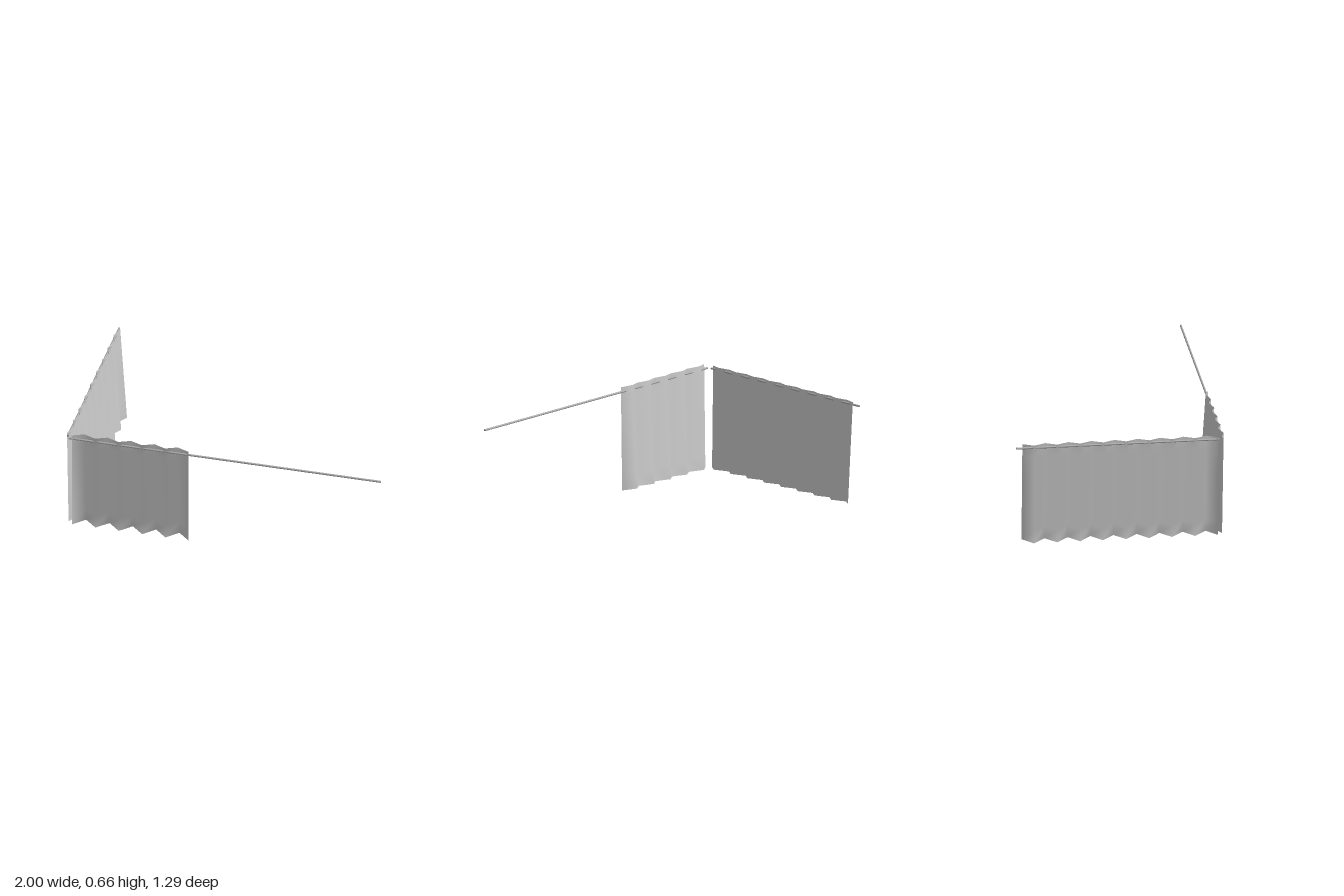
import * as THREE from 'three';

const fabric = new THREE.MeshStandardMaterial({ color: 0xcccccc, side: THREE.DoubleSide });
fabric.name = 'grey fabric';
const metal = new THREE.MeshStandardMaterial({ color: 0xa8a8a8 });
metal.name = 'grey metal';

const ROD_Y = 0.631;
const ROD_RADIUS = 0.0065;

// Pleated sheet along x, outer pleats towards +z; z is measured from the rod axis.
// Pleats get deeper towards the hem.
function pleatedSheet(start, end, panels, top) {
  const rows = 8;
  const geo = new THREE.PlaneGeometry(end - start, 1, panels, rows);
  const p = geo.attributes.position;
  for (let row = 0; row <= rows; row++) {
    const t = row / rows;
    for (let col = 0; col <= panels; col++) {
      const inner = (panels - col) % 2 === 1;
      const x = start + (end - start) * col / panels;
      const y = inner
        ? THREE.MathUtils.lerp(top, 0.011, t)
        : THREE.MathUtils.lerp(top - 0.004, 0.002, t);
      const z = inner
        ? THREE.MathUtils.lerp(-0.017, -0.06, t)
        : THREE.MathUtils.lerp(0.008, -0.002, t);
      p.setXYZ(row * (panels + 1) + col, x, y, z);
    }
  }
  geo.computeVertexNormals();
  return geo;
}

// One curtain threaded on its rod, both running along x.
function curtainOnRod(name, rodStart, rodEnd, start, end, panels, top) {
  const group = new THREE.Group();
  group.name = name;

  const rod = new THREE.Mesh(
    new THREE.CylinderGeometry(ROD_RADIUS, ROD_RADIUS, rodEnd - rodStart, 12), metal);
  rod.name = name + 'Rod';
  rod.rotation.z = Math.PI / 2;
  rod.position.set((rodStart + rodEnd) / 2, ROD_Y, 0);

  const sheet = new THREE.Mesh(pleatedSheet(start, end, panels, top), fabric);
  sheet.name = name + 'Sheet';

  group.add(rod, sheet);
  return group;
}

export function createModel() {
  const model = new THREE.Group();
  model.name = 'cornerCurtains';

  // Half-drawn curtain across the front
  const front = curtainOnRod('frontCurtain', -0.98, 1, -0.96, -0.22, 10, 0.663);
  front.position.z = 0.637;

  // Fully drawn curtain along the right side
  const side = curtainOnRod('sideCurtain', -0.645, 0.615, -0.605, 0.607, 17, 0.652);
  side.rotation.y = -Math.PI / 2;
  side.position.x = -0.992;

  model.add(front, side);
  return model;
}
